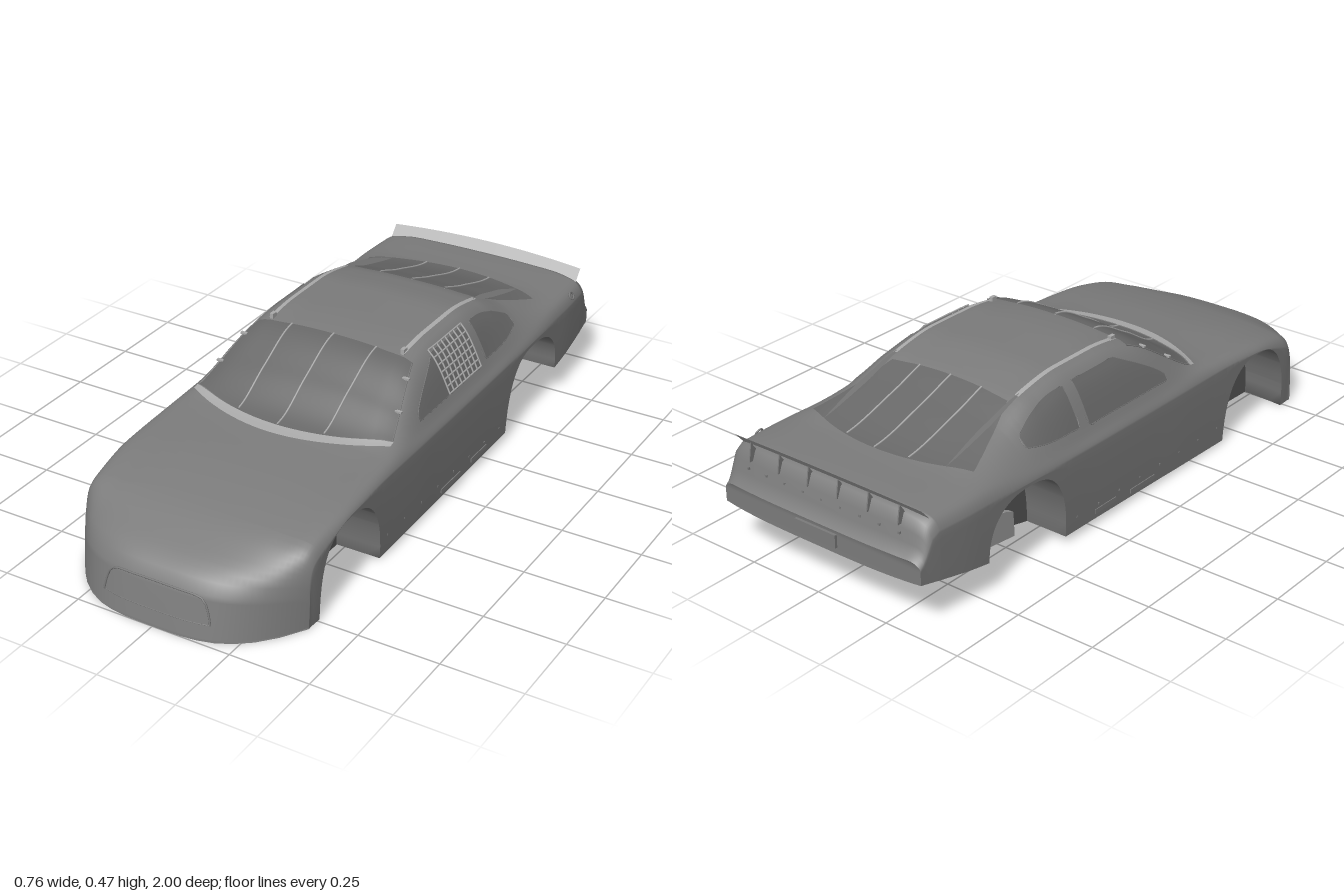
import * as THREE from 'three';

const BODY = 0x7b7b7b, GLASS = 0x686868, WELL = 0x565656, FLOOR = 0x747474, LIGHT = 0xaaaaaa;
const mats = new Map();
function material(color) {
  if (!mats.has(color)) mats.set(color, new THREE.MeshStandardMaterial({ color, side: THREE.DoubleSide }));
  return mats.get(color);
}
const V = (x, y, z) => new THREE.Vector3(x, y, z);
const lerp = THREE.MathUtils.lerp;

// Body stations: [s, halfWidth, shoulderY, beltY, roofX, roofY, centreY]
const KEYS = [
  [-1, .364, .195, .212, .29, .217, .22], [-.985, .365, .207, .224, .29, .229, .232],
  [-.965, .367, .24, .27, .29, .285, .292], [-.95, .369, .268, .303, .29, .322, .33],
  [-.92, .372, .282, .315, .29, .33, .336], [-.76, .379, .28, .315, .29, .335, .343],
  [-.55, .379, .275, .308, .275, .375, .4], [-.4, .378, .268, .303, .262, .43, .45],
  [-.25, .377, .264, .298, .265, .45, .47], [-.1, .377, .262, .298, .265, .45, .47],
  [.05, .377, .26, .297, .275, .43, .46], [.2, .378, .26, .295, .3, .355, .39],
  [.34, .378, .26, .286, .28, .3, .313], [.58, .379, .25, .268, .27, .278, .286],
  [.75, .377, .205, .235, .27, .247, .253], [.85, .374, .17, .2, .27, .21, .218],
  [.95, .373, .12, .14, .28, .155, .168], [.97, .373, .09, .11, .28, .125, .135],
  [1, .372, .003, .004, .28, .006, .008]];

// Monotone cubic interpolation of one station column
function param(c, s) {
  let i = 0;
  while (i < KEYS.length - 2 && KEYS[i + 1][0] < s) i++;
  const d = k => (KEYS[k + 1][c] - KEYS[k][c]) / (KEYS[k + 1][0] - KEYS[k][0]);
  const slope = k => {
    if (k < 1 || k > KEYS.length - 2) return d(k < 1 ? 0 : KEYS.length - 2);
    const a = d(k - 1), b = d(k);
    return a * b <= 0 ? 0 : 2 * a * b / (a + b);
  };
  const h = KEYS[i + 1][0] - KEYS[i][0], t = (s - KEYS[i][0]) / h, t2 = t * t, t3 = t2 * t;
  return (2 * t3 - 3 * t2 + 1) * KEYS[i][c] + (t3 - 2 * t2 + t) * h * slope(i)
    + (3 * t2 - 2 * t3) * KEYS[i + 1][c] + (t3 - t2) * h * slope(i + 1);
}

// Lower edge of the body, including the wheel arches
const ARCHES = [{ c: .582, r: .172, top: .245 }, { c: -.55, r: .17, top: .265 }];
function bottomY(s) {
  const base = s > .41 ? 0 : s > -.38 ? lerp(.008, .025, (.41 - s) / .79)
    : s > -.72 ? lerp(.025, .1, (-.38 - s) / .34) : lerp(.1, .15, (-.72 - s) / .28);
  for (const a of ARCHES) {
    const t = Math.abs(s - a.c) / a.r;
    if (t < 1) return lerp(base, a.top, (1 - t ** 2.5) ** .4);
  }
  return base;
}

// Rounded plan view of the nose and tail
function bowZ(x, s) {
  const k = Math.min(1, Math.abs(x) / .375) ** 3.3, d = s - .78;
  if (s > .2) return s - .475 * (d + Math.hypot(d, .05)) * k;
  return s < -.8 ? s + .1 * (-.8 - s) * k : s;
}

// Half cross-section from sill to centreline
const LOW = 7, UP = 26, cache = new Map();
function section(s) {
  if (cache.has(s)) return cache.get(s);
  const [W, yS, yB, xR, yR, yT] = [1, 2, 3, 4, 5, 6].map(c => param(c, s));
  const pts = [], yb = Math.min(bottomY(s), yS), yM = yR + .75 * (yT - yR);
  for (let i = 0; i < LOW; i++) {
    const y = lerp(yb, yS, i / LOW);
    pts.push([W - .007 * ((yS - y) / .26) ** 2, y]);
  }
  const curve = new THREE.CatmullRomCurve3([V(W, yS - .04, 0), V(W, yS, 0), V(W * .945, yB, 0), V(xR, yR, 0),
    V(xR * .6, yM, 0), V(0, yT, 0), V(-xR * .6, yM, 0)]);
  for (let i = 0; i <= UP; i++) {
    const p = curve.getPoint((1 + 4 * i / UP) / 6);
    pts.push([i === UP ? 0 : p.x, p.y]);
  }
  cache.set(s, pts);
  return pts;
}
function crossing(pts, axis, value) {
  for (let i = pts.length - 1; i > LOW; i--) {
    const a = pts[i], b = pts[i - 1];
    if ((a[axis] - value) * (b[axis] - value) <= 0 && a[axis] !== b[axis])
      return lerp(a[1 - axis], b[1 - axis], (value - a[axis]) / (b[axis] - a[axis]));
  }
  return pts[LOW][1 - axis];
}
const onTop = (x, s, lift = .003) => V(x, crossing(section(s), 0, Math.abs(x)) + lift, bowZ(x, s));
const onSide = (m, y, s, lift = .003) => V(m * (crossing(section(s), 1, y) + lift), y + lift * .5, s);
function onNose(x, y, lift = .002) {
  let lo = .85, hi = 1;
  for (let i = 0; i < 16; i++) {
    const mid = (lo + hi) / 2;
    if (crossing(section(mid), 0, Math.abs(x)) > y) lo = mid; else hi = mid;
  }
  return V(x, y, bowZ(x, lo) + lift);
}

// Surface from a rule f(u, v)
function grid(nu, nv, f) {
  const pos = [], idx = [];
  for (let i = 0; i <= nu; i++) for (let j = 0; j <= nv; j++) {
    pos.push(...f(i / nu, j / nv).toArray());
    if (i < nu && j < nv) {
      const a = i * (nv + 1) + j, b = a + nv + 1;
      idx.push(a, b, a + 1, b, b + 1, a + 1);
    }
  }
  const g = new THREE.BufferGeometry();
  g.setAttribute('position', new THREE.Float32BufferAttribute(pos, 3));
  g.setIndex(idx);
  g.computeVertexNormals();
  return g;
}
const tube = (pts, r, closed = false) =>
  new THREE.TubeGeometry(new THREE.CatmullRomCurve3(pts, closed), pts.length * 2, r, 6, closed);
// Side profile [z, y] extruded across x
function plate(points, x, width) {
  const shape = new THREE.Shape(points.map(p => new THREE.Vector2(...p)));
  return new THREE.ExtrudeGeometry(shape, { depth: width, bevelEnabled: false })
    .rotateY(-Math.PI / 2).translate(x + width / 2, 0, 0);
}

export function createModel() {
  const car = new THREE.Group();
  car.name = 'stockCarBody';
  const add = (name, geo, color = BODY) => {
    const m = new THREE.Mesh(geo, material(color));
    m.name = name;
    car.add(m);
    return m;
  };
  const box = (name, w, h, d, p, color) => add(name, new THREE.BoxGeometry(w, h, d), color).position.copy(p);
  const steps = (n, f) => Array.from({ length: n + 1 }, (_, i) => f(i / n));

  // Body shell, underside and tail panel
  const archZ = a => steps(28, t => a.c + a.r * Math.cos(Math.PI * t));
  const stations = [...new Set([...KEYS.map(k => k[0]), ...steps(80, t => lerp(-1, 1, t)), ...ARCHES.flatMap(archZ)]
    .map(s => +s.toFixed(4)))].sort((a, b) => a - b);
  const n = LOW + UP, ns = stations.length - 1;
  const ring = (s, j) => {
    const [x, y] = section(s)[j <= n ? j : 2 * n - j], sx = j <= n ? x : -x;
    return V(sx, y, bowZ(sx, s));
  };
  add('bodyShell', grid(ns, 2 * n, (u, v) => ring(stations[Math.round(u * ns)], Math.round(v * 2 * n))));
  add('underside', grid(ns, 16, (u, v) => {
    const s = stations[Math.round(u * ns)], [w, y] = section(s)[0], x = lerp(w, -w, v);
    return V(x, y, bowZ(x, s));
  }), FLOOR);
  add('tailPanel', grid(n, 1, (u, v) => {
    const j = Math.round(u * n);
    return ring(-1, v ? 2 * n - j : j);
  }));

  // Inner walls of the wheel wells
  for (const a of ARCHES) add('wheelWellCore', plate(archZ(a).map(z => [z, bottomY(z)]), 0, .46), WELL);

  // Windshield with cowl, strips and clips
  const shieldS = (u, t) => lerp(.36 - .09 * u * u, .04, t);
  add('windshield', grid(24, 20, (u, v) => {
    const k = 2 * u - 1;
    return onTop(k * lerp(.33, .265, v), shieldS(k, v));
  }), GLASS);
  add('cowl', grid(24, 3, (u, v) => {
    const k = 2 * u - 1;
    return onTop(k * .335, .362 + .038 * v * (1 - .5 * k * k) - .09 * k * k, .005);
  }), LIGHT);
  for (const x of [-.145, 0, .145])
    add('windshieldStrip', tube(steps(14, t => onTop(x, shieldS(x / .3, t), .004)), .003), LIGHT);
  for (const m of [-1, 1]) {
    for (const [x, s] of [[.305, .19], [.278, .1]])
      box('windshieldClip', .022, .006, .01, onTop(m * x, s, .005), LIGHT);
    box('roofTab', .012, .022, .02, onTop(m * .225, .02, .004), LIGHT);
    add('roofRail', grid(1, 16, (u, v) => onTop(m * (.22 + .014 * u), lerp(.03, -.42, v), .006)), LIGHT);
    add('windshieldEdge', tube(steps(14, t => onTop(m * lerp(.33, .265, t), shieldS(1, t), .002)), .002));
  }

  // Rear window, its strips and the raised outer fins
  const rearS = (k, t) => lerp(-.435 - .01 * k * k, -.76 + .07 * k * k, t);
  add('rearWindow', grid(24, 18, (u, v) => {
    const k = 2 * u - 1;
    return onTop(k * lerp(.215, .3, v), rearS(k, v));
  }), GLASS);
  for (const x of [-.115, 0, .115])
    add('rearWindowStrip', tube(steps(12, t => onTop(x, rearS(x / .26, t), .004)), .003), LIGHT);
  for (const m of [-1, 1])
    add('roofFin', grid(16, 1, (u, v) =>
      onTop(m * .228, lerp(-.41, -.72, u), v * .024 * Math.sin(Math.PI * (.1 + .85 * u)))), LIGHT);

  // Side windows: profile of bottom and top edges along the body
  const sideWindow = (name, m, s0, s1, lower, upper) => {
    add(name, grid(14, 8, (u, v) => onSide(m, lerp(lower(u), upper(u), v), lerp(s0, s1, u), .002)), GLASS);
    const edge = [...steps(10, u => [u, lower(u)]), ...steps(10, u => [1 - u, upper(1 - u)])];
    add(name + 'Frame', tube(edge.map(([u, y]) => onSide(m, y, lerp(s0, s1, u), .001)), .0015, true));
  };
  for (const m of [-1, 1]) {
    sideWindow('doorWindow', m, .135, -.24, u => .315 + .003 * u,
      u => .33 + .108 * Math.min(1, u / .5) ** .8);
    sideWindow('quarterWindow', m, -.285, -.5, u => .325 + .02 * u ** 3, u => .436 - .065 * u ** 2);
  }

  // Window net on the driver's side
  for (let i = 0; i <= 8; i++)
    add('netStrap', tube(steps(6, t => onSide(1, lerp(.32, .445, t), lerp(-.04, -.24, i / 8), .004)), .0028), LIGHT);
  for (let i = 0; i <= 6; i++)
    add('netStrap', tube(steps(6, t => onSide(1, lerp(.32, .445, i / 6), lerp(-.04, -.24, t), .004)), .0028), LIGHT);

  // Grille opening in the nose
  const rim = [[-.175, .05], [-.17, .075], [-.155, .115], [-.14, .126], [-.07, .132], [0, .133]];
  add('grilleRim', tube([...rim, ...rim.slice(0, -1).reverse().map(([x, y]) => [-x, y])]
    .map(([x, y]) => onNose(x, y)), .003));
  add('grilleSill', tube(steps(12, t => onNose(lerp(-.175, .175, t), .05, 0)), .0015));

  // Rear spoiler with braces, tail plate and fuel filler
  add('spoiler', grid(20, 1, (u, v) => {
    const k = 2 * u - 1;
    return V(k * .345, lerp(.325, .364, v) - .012 * k * k, lerp(-.928, -.962, v) + .012 * k * k);
  }), LIGHT);
  for (let i = -2; i <= 3; i++)
    add('spoilerBrace', plate([[-.94, .325], [-.958, .352], [-.968, .295], [-.955, .295]], (i - .5) * .11, .004));
  for (let i = -4; i <= 4; i++) box('tailRivet', .007, .007, .006, V(i * .07, .275, -.968));
  box('tailPlate', .15, .04, .008, V(0, .185, -.997));
  const filler = add('fuelFiller', new THREE.TorusGeometry(.012, .003, 6, 18));
  filler.position.copy(onSide(1, .305, -.84, .002));
  filler.rotation.set(-.5, Math.PI / 2, 0, 'YXZ');

  // Sill slots and rivets
  for (const m of [-1, 1]) {
    for (const [z, y, d] of [[-.015, .038, .12], [-.195, .046, .1]]) box('sillSlot', .006, .014, d, V(m * .372, y, z));
    for (let i = 0; i < 8; i++) box('sillRivet', .005, .005, .005, V(m * .373, .068, .37 - i * .1));
  }

  // Fuel cell and keel fins under the rear
  add('fuelCell', plate([[-.46, .02], [-.465, .1], [-.5, .115], [-.66, .132], [-.69, .115], [-.7, .08], [-.68, .045]],
    0, .5), 0x999999);
  for (const x of [-.165, -.055, .055, .165])
    add('keelFin', plate([[-.375, .022], [-.45, .003], [-.7, .045], [-.85, .128], [-.72, .11], [-.45, .04]], x, .008), LIGHT);
  return car;
}
